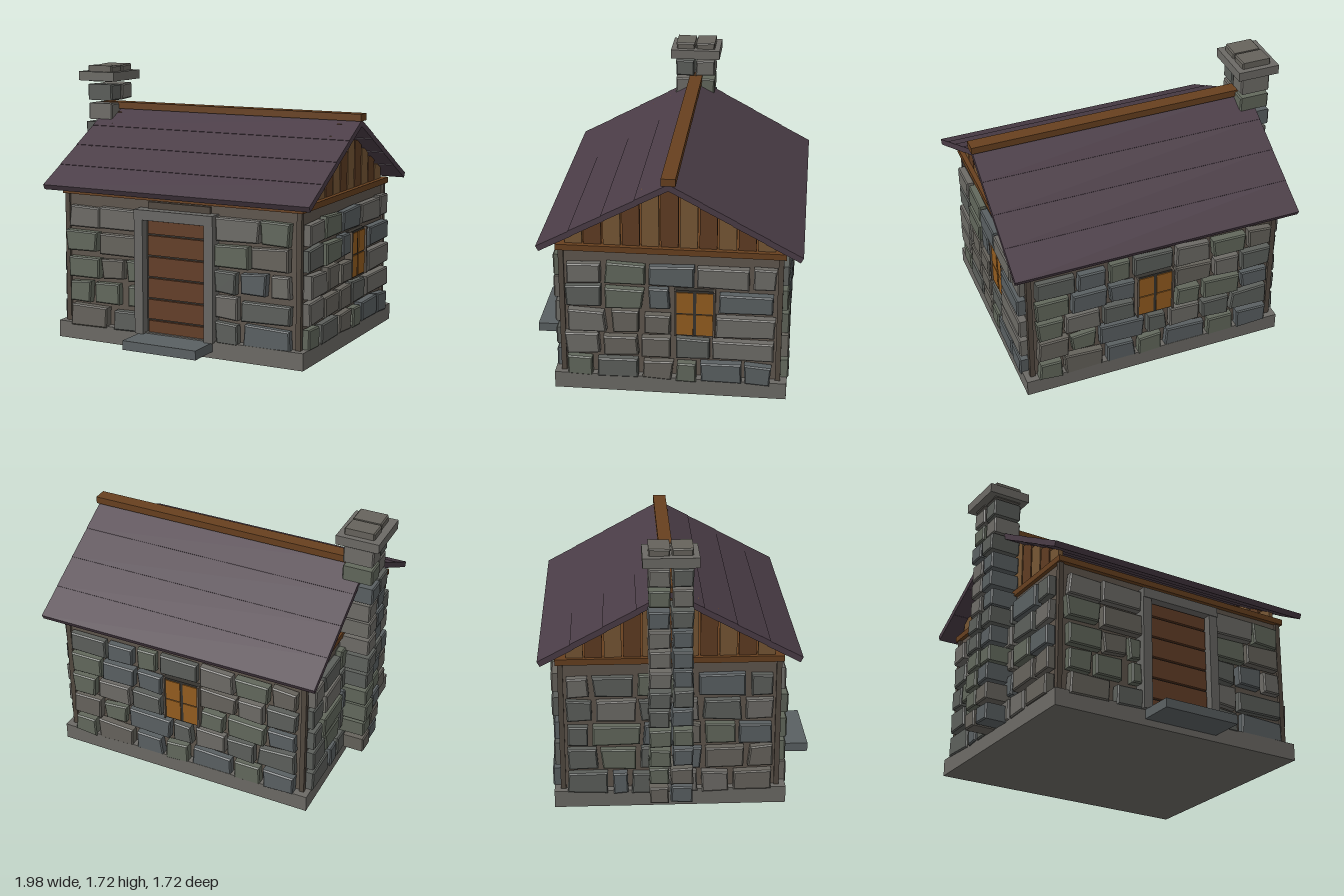
import * as THREE from 'three';

const CX = 0.0625, CZ = -0.075; // centre of the house plan
const mat = (color) => new THREE.MeshStandardMaterial({ color, flatShading: true });
const STONES = [0x6d6b66, 0x5a6062, 0x62685c, 0x66635c, 0x5c5f5b].map(mat);
const M = {
  base: mat(0x6c6a65), mortar: mat(0x5f564d), frame: mat(0x686764), step: mat(0x5a6062),
  dark: mat(0x35332f), door: mat(0x633e27), beam: mat(0x67401f), boardA: mat(0x765634),
  boardB: mat(0x5f3c22), roof: mat(0x4a3c46), glass: mat(0x935c1f), post: mat(0x51483f),
};

// Small seeded generator
let seed = 7;
const rnd = () => (seed = (seed * 16807) % 2147483647) / 2147483647;
const jitter = (a) => (rnd() - 0.5) * 2 * a;

// Box given by its min and max on each axis
function box(parent, name, x0, x1, y0, y1, z0, z1, material) {
  const m = new THREE.Mesh(new THREE.BoxGeometry(x1 - x0, y1 - y0, z1 - z0), material);
  m.position.set((x0 + x1) / 2, (y0 + y1) / 2, (z0 + z1) / 2);
  m.name = name;
  parent.add(m);
  return m;
}

// Irregular four-cornered stone with chamfered edges, facing local +z
function stone(parent, u0, u1, y0, y1, depth, rough = 0.016) {
  const b = 0.008;
  const j = () => rnd() * rough;
  const shape = new THREE.Shape([
    new THREE.Vector2(u0 + b + j(), y0 + b + j()), new THREE.Vector2(u1 - b - j(), y0 + b + j()),
    new THREE.Vector2(u1 - b - j(), y1 - b - j()), new THREE.Vector2(u0 + b + j(), y1 - b - j()),
  ]);
  const g = new THREE.ExtrudeGeometry(shape, {
    depth: depth - 2 * b, bevelEnabled: true, bevelSize: b, bevelThickness: b, bevelSegments: 1,
  });
  g.translate(0, 0, b);
  const m = new THREE.Mesh(g, STONES[Math.floor(rnd() * STONES.length)]);
  m.name = 'stone';
  parent.add(m);
}

// Five courses of stone on one wall; each course is a list of [start, end]
const courseY = (i) => 0.088 + i * 0.161;
function stoneWall(name, courses) {
  const g = new THREE.Group();
  g.name = name;
  courses.forEach((spans, i) => spans.forEach(([a, b]) =>
    stone(g, a, b, courseY(i), courseY(i) + 0.152 - rnd() * 0.012, 0.058 + jitter(0.008))));
  return g;
}

// Courses of random widths, leaving an opening in courses 2 and 3
function randomCourses(half, gap) {
  const fill = (from, to) => {
    const out = [], n = Math.max(1, Math.round((to - from) / 0.23));
    const cuts = [from];
    for (let k = 1; k < n; k++) cuts.push(from + (to - from) * (k + jitter(0.28)) / n);
    cuts.push(to);
    for (let k = 0; k < n; k++) out.push([cuts[k] + 0.006, cuts[k + 1] - 0.006]);
    return out;
  };
  return [0, 1, 2, 3, 4].map((i) => (gap && (i === 2 || i === 3))
    ? [...fill(-half, -gap), ...fill(gap, half)] : fill(-half, half));
}

// Four-pane window facing local +z, centred on u = 0
function windowUnit() {
  const g = new THREE.Group();
  g.name = 'window';
  box(g, 'windowBacking', -0.122, 0.122, 0.405, 0.712, 0, 0.035, M.dark);
  for (const s of [-1, 1]) {
    for (const y of [0.413, 0.56])
      box(g, 'windowPane', s * 0.06 - 0.05, s * 0.06 + 0.05, y, y + 0.138, 0, 0.041, M.glass);
    box(g, 'windowJamb', s * 0.118 - 0.006, s * 0.118 + 0.006, 0.405, 0.712, 0, 0.052, M.mortar);
  }
  return g;
}

export function createModel() {
  const house = new THREE.Group();
  house.name = 'stoneCottage';

  // Foundation, wall core, corner posts and wall plate
  box(house, 'foundation', -0.8, 0.925, 0, 0.108, -0.79, 0.64, M.base);
  box(house, 'wallCore', -0.75, 0.875, 0.1, 0.945, -0.735, 0.585, M.mortar);
  for (const sx of [-1, 1]) for (const sz of [-1, 1]) {
    const x = CX + sx * 0.812, z = CZ + sz * 0.66;
    box(house, 'cornerPost', x - 0.016, x + 0.016, 0.1, 0.945, z - 0.016, z + 0.016, M.post);
  }
  box(house, 'wallPlate', -0.775, 0.905, 0.94, 0.978, -0.765, 0.615, M.beam);

  // Stone facing on the four walls, courses from the bottom up
  const front = stoneWall('frontStones', [
    [[-0.71, -0.43], [-0.39, -0.2], [0.33, 0.5], [0.52, 0.84]],
    [[-0.72, -0.55], [-0.53, -0.34], [-0.29, -0.2], [0.33, 0.5], [0.5, 0.84]],
    [[-0.72, -0.49], [-0.48, -0.31], [-0.3, -0.2], [0.33, 0.48], [0.5, 0.69], [0.7, 0.84]],
    [[-0.74, -0.5], [-0.49, -0.2], [0.33, 0.57], [0.57, 0.84]],
    [[-0.72, -0.49], [-0.49, -0.2], [0.33, 0.64], [0.64, 0.84]],
  ]);
  front.position.z = 0.585;
  const right = stoneWall('rightStones', [
    [[-0.57, -0.39], [-0.38, -0.11], [-0.1, 0.1], [0.11, 0.25], [0.26, 0.52], [0.53, 0.7]],
    [[-0.57, -0.35], [-0.34, -0.11], [-0.1, 0.09], [0.1, 0.33], [0.33, 0.72]],
    [[-0.56, -0.31], [-0.28, -0.11], [-0.09, 0.09], [0.35, 0.72]],
    [[-0.56, -0.34], [-0.32, -0.08], [-0.06, 0.08], [0.36, 0.71]],
    [[-0.56, -0.33], [-0.32, -0.06], [-0.06, 0.23], [0.23, 0.56], [0.57, 0.72]],
  ]);
  right.position.x = 0.875;
  right.rotation.y = Math.PI / 2;
  const back = stoneWall('backStones', randomCourses(0.79, 0.128));
  back.position.set(CX, 0, -0.735);
  back.rotation.y = Math.PI;
  const left = stoneWall('leftStones', randomCourses(0.64));
  left.position.set(-0.75, 0, CZ);
  left.rotation.y = -Math.PI / 2;
  house.add(front, right, back, left);

  // Windows on the right and back walls
  const rightWindow = windowUnit();
  rightWindow.position.set(0.875, 0, -0.225);
  rightWindow.rotation.y = Math.PI / 2;
  const backWindow = windowUnit();
  backWindow.position.set(CX, 0, -0.735);
  backWindow.rotation.y = Math.PI;
  house.add(rightWindow, backWindow);

  // Door with horizontal planks, stone surround and step
  const door = new THREE.Group();
  door.name = 'door';
  box(door, 'doorBacking', -0.16, 0.28, 0.1, 0.83, 0.58, 0.612, M.dark);
  for (let i = 0; i < 6; i++)
    box(door, 'doorPlank', -0.137, 0.267, Math.max(0.11, 0.06 + i * 0.135),
      Math.min(0.815, 0.183 + i * 0.135), 0.59, 0.63, M.door);
  box(door, 'doorJamb', -0.215, -0.155, 0.1, 0.83, 0.58, 0.67, M.frame);
  box(door, 'doorJamb', 0.275, 0.335, 0.1, 0.83, 0.58, 0.67, M.frame);
  box(door, 'doorLintel', -0.215, 0.335, 0.825, 0.888, 0.58, 0.675, M.frame);
  box(door, 'doorHeader', -0.15, 0.285, 0.888, 0.93, 0.58, 0.605, M.post);
  box(door, 'doorStep', -0.19, 0.32, 0.042, 0.1, 0.6, 0.86, M.step);
  house.add(door);

  // Gable boards at both ends, stepped to follow the roof
  for (const x of [-0.735, 0.86])
    for (let k = -5; k <= 5; k++) {
      const z = CZ + 0.005 + k * 0.1155, top = 1.405 - Math.abs(k) * 0.065;
      box(house, 'gableBoard', x - 0.015, x + 0.015, 0.975, top, z - 0.052, z + 0.052,
        k % 2 ? M.boardA : M.boardB);
    }

  // Roof slopes, four overlapping planks each
  const pitch = Math.atan2(0.43, 0.785), run = 0.895;
  for (const s of [-1, 1]) {
    const slope = new THREE.Group();
    slope.name = 'roofSlope';
    for (let i = 0; i < 4; i++) {
      const w = run / 4;
      const p = box(slope, 'roofPlank', -0.92, 0.925, -0.036, 0, i * w, (i + 1) * w + 0.004, M.roof);
      p.position.y += 0.002;
      p.rotation.x = -0.012;
    }
    slope.position.set(CX, 1.43, CZ);
    slope.rotation.set(pitch, s < 0 ? Math.PI : 0, 0, 'YXZ');
    if (s < 0) slope.position.x += 0.005;
    house.add(slope);
  }
  box(house, 'ridgeBeam', -0.87, 0.998, 1.425, 1.47, CZ - 0.043, CZ + 0.043, M.beam);

  // Chimney of stacked stones, two to a layer, with a cap slab
  const chimney = new THREE.Group();
  chimney.name = 'chimney';
  for (let i = 0; i < 13; i++) {
    const y = 0.085 + i * 0.1268, split = jitter(0.012), d = 0.2 + jitter(0.008);
    stone(chimney, -0.136, split - 0.003, y, y + 0.113, d, 0.008);
    stone(chimney, split + 0.003, 0.136, y, y + 0.113, d - rnd() * 0.015, 0.008);
  }
  chimney.position.set(-0.75, 0, CZ);
  chimney.rotation.y = -Math.PI / 2;
  house.add(chimney);
  box(house, 'chimneyCap', -0.985, -0.712, 1.615, 1.675, -0.24, 0.09, M.base);

  return house;
}
